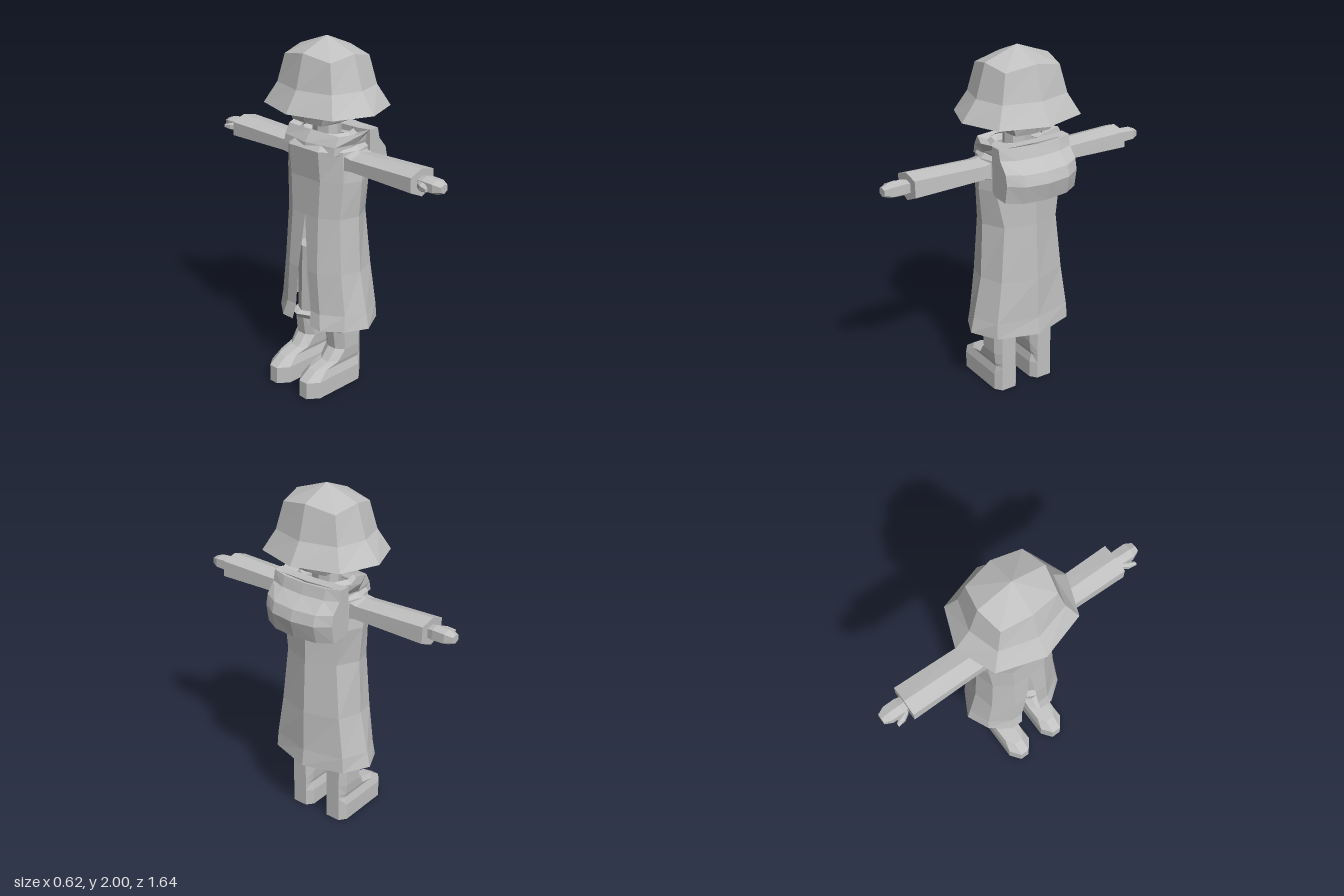
import * as THREE from 'three';

const cloth = new THREE.MeshStandardMaterial({ color: 0xc0c0c0, flatShading: true, side: THREE.DoubleSide });
cloth.name = 'plain grey';

// Skin a list of equal-length cross-sections; optionally closed around and capped.
function loft(rings, { closed = true, capStart = false, capEnd = false } = {}) {
  const pos = [];
  const n = rings[0].length;
  const tri = (a, b, c) => pos.push(...a, ...b, ...c);
  for (let i = 0; i < rings.length - 1; i++) {
    const lo = rings[i], hi = rings[i + 1];
    for (let j = 0; j < (closed ? n : n - 1); j++) {
      const k = (j + 1) % n;
      tri(lo[j], hi[j], lo[k]);
      tri(lo[k], hi[j], hi[k]);
    }
  }
  const cap = (ring, flip) => {
    const c = [0, 1, 2].map((a) => ring.reduce((s, p) => s + p[a], 0) / n);
    for (let j = 0; j < n; j++) {
      const p = ring[j], q = ring[(j + 1) % n];
      flip ? tri(c, q, p) : tri(c, p, q);
    }
  };
  if (capStart) cap(rings[0], false);
  if (capEnd) cap(rings[rings.length - 1], true);
  const g = new THREE.BufferGeometry();
  g.setAttribute('position', new THREE.Float32BufferAttribute(pos, 3));
  g.computeVertexNormals();
  return g;
}

// Eight-sided horizontal ring: half sizes on x and z, and the diagonal corner.
function ring8(y, rx, rz, dx = rx * 0.72, dz = rz * 0.76, yd = y, cx = 0, cz = 0) {
  return [[rx, y, 0], [dx, yd, dz], [0, y, rz], [-dx, yd, dz],
    [-rx, y, 0], [-dx, yd, -dz], [0, y, -rz], [dx, yd, -dz]]
    .map(([x, h, z]) => [x + cx, h, z + cz]);
}

function add(parent, name, geometry) {
  const m = new THREE.Mesh(geometry, cloth);
  m.name = name;
  parent.add(m);
  return m;
}

export function createModel() {
  const model = new THREE.Group();
  model.name = 'coatedFigure';

  // Flared hat, open underneath
  add(model, 'hat', loft([
    ring8(1.63, 0.3, 0.345, 0.22, 0.26),
    ring8(1.745, 0.225, 0.255, 0.17, 0.205),
    ring8(1.93, 0.175, 0.2, 0.145, 0.17, 1.9),
    ring8(2.0, 0.001, 0.001),
  ]));

  // Head and neck
  add(model, 'head', loft([
    ring8(1.53, 0.1, 0.07),
    ring8(1.555, 0.165, 0.12, 0.15, 0.11),
    ring8(1.63, 0.19, 0.155, 0.165, 0.14),
    ring8(1.78, 0.17, 0.17, 0.14, 0.14),
  ], { capStart: true, capEnd: true }));
  add(model, 'neck', loft([
    ring8(1.4, 0.07, 0.08), ring8(1.56, 0.07, 0.08),
  ]));

  // Long coat, split down the front below the waist
  // y, slit half width, front x, front z, corner x, corner z, side z, back corner x, z, back x
  const levels = [
    [0.39, 0.07, -0.205, 0.15, -0.12, 0.26, 0.32, 0.16, 0.24, 0.225],
    [0.48, 0.06, -0.187, 0.13, -0.11, 0.25, 0.3, 0.155, 0.235, 0.21],
    [0.72, 0.035, -0.188, 0.11, -0.11, 0.22, 0.25, 0.145, 0.2, 0.205],
    [1.04, 0, -0.167, 0.1, -0.1, 0.2, 0.235, 0.13, 0.17, 0.19],
    [1.25, 0, -0.162, 0.11, -0.09, 0.215, 0.255, 0.11, 0.21, 0.185],
    [1.42, 0, -0.178, 0.11, -0.09, 0.21, 0.24, 0.1, 0.21, 0.18],
    [1.5, 0, -0.09, 0.08, -0.06, 0.13, 0.15, 0.08, 0.12, 0.14],
  ];
  add(model, 'coat', loft(levels.map(([y, ze, xf, zf, xc, zc, zs, xb, zb, x0]) => {
    const half = [[xf, ze], [xf, zf], [xc, zc], [0.01, zs], [xb, zb]];
    return [
      ...half.map(([x, z]) => [x, y, -z]),
      [x0, y - (y < 0.4 ? 0.01 : 0), 0],
      ...half.reverse().map(([x, z]) => [x, y, z]),
    ];
  }), { closed: false }));

  // Upright collar that folds inward around the neck
  add(model, 'collar', loft([
    ring8(1.4, 0.17, 0.2, 0.14, 0.19),
    ring8(1.45, 0.165, 0.215, 0.13, 0.19),
    ring8(1.51, 0.15, 0.25, 0.13, 0.19, 1.505, 0.03),
    ring8(1.46, 0.09, 0.13, 0.07, 0.1, 1.46),
  ]));

  // Hood hanging on the back
  const hoodSection = [[0.1, 1.25], [0.13, 1.225], [0.28, 1.22], [0.305, 1.32],
    [0.285, 1.38], [0.21, 1.44], [0.19, 1.5], [0.1, 1.5]];
  add(model, 'hood', loft(
    [[0.225, 0.68], [0.14, 0.92], [0, 1], [-0.14, 0.92], [-0.225, 0.68]].map(([z, k]) =>
      hoodSection.map(([x, y]) => [0.1 + (x - 0.1) * k, y + (1 - k) * 0.03, z])),
    { capStart: true, capEnd: true }));

  // Sleeve, hand and boot for each side
  const hex = [[-0.01, 0.075], [0.085, 0.055], [0.09, -0.035], [0, -0.075], [-0.09, -0.035], [-0.09, 0.045]];
  const section = (z, sx, sy, cx = 0, cy = 1.355) =>
    hex.map(([x, y]) => [cx + x * sx, cy + y * sy, z]);

  for (const side of [1, -1]) {
    const limb = new THREE.Group();
    limb.name = side > 0 ? 'limbsPlusZ' : 'limbsMinusZ';
    limb.scale.z = side;
    model.add(limb);

    add(limb, 'sleeve', loft([
      section(0.17, 0.95, 1.1), section(0.26, 0.95, 0.8), section(0.68, 1, 1),
    ], { capStart: true, capEnd: true }));
    add(limb, 'hand', loft([
      section(0.66, 0.4, 0.45), section(0.71, 0.5, 0.6), section(0.78, 0.5, 0.55), section(0.822, 0.3, 0.32),
    ], { capStart: true, capEnd: true }));
    add(limb, 'thumb', loft([
      section(0.69, 0.2, 0.3, -0.035), section(0.725, 0.24, 0.32, -0.055), section(0.77, 0.1, 0.15, -0.075),
    ], { capStart: true, capEnd: true }));

    // Boot: rings whose toe pulls back with height
    const bootRing = (y, toe, ball, w = 0.075) => [
      [0.1, y, 0.045], [0.06, y, w], [ball, y, w], [toe, y, 0.028],
      [toe, y, -0.028], [ball, y, -w], [0.06, y, -w], [0.1, y, -0.045],
    ].map(([x, h, z]) => [x, h, z + 0.123]);
    add(limb, 'boot', loft([
      bootRing(0, -0.312, -0.25), bootRing(0.1, -0.312, -0.25), bootRing(0.15, -0.24, -0.19, 0.062),
      bootRing(0.172, -0.14, -0.1, 0.068), bootRing(0.235, -0.085, -0.05), bootRing(0.35, -0.1, -0.06),
    ], { capStart: true, capEnd: true }));
    add(limb, 'bootCuff', loft([
      ring8(0.345, 0.11, 0.075, 0.08, 0.065, 0.345, 0, 0.123),
      ring8(0.375, 0.135, 0.088, 0.1, 0.075, 0.375, 0.005, 0.123),
      ring8(0.385, 0.1, 0.065, 0.07, 0.05, 0.385, 0, 0.123),
    ], { capStart: true, capEnd: true }));
    add(limb, 'trouserLeg', loft([
      ring8(0.36, 0.09, 0.065, 0.065, 0.05, 0.36, 0, 0.12),
      ring8(0.8, 0.1, 0.075, 0.075, 0.06, 0.8, 0, 0.095),
    ], { capStart: true, capEnd: true }));
  }
  return model;
}
